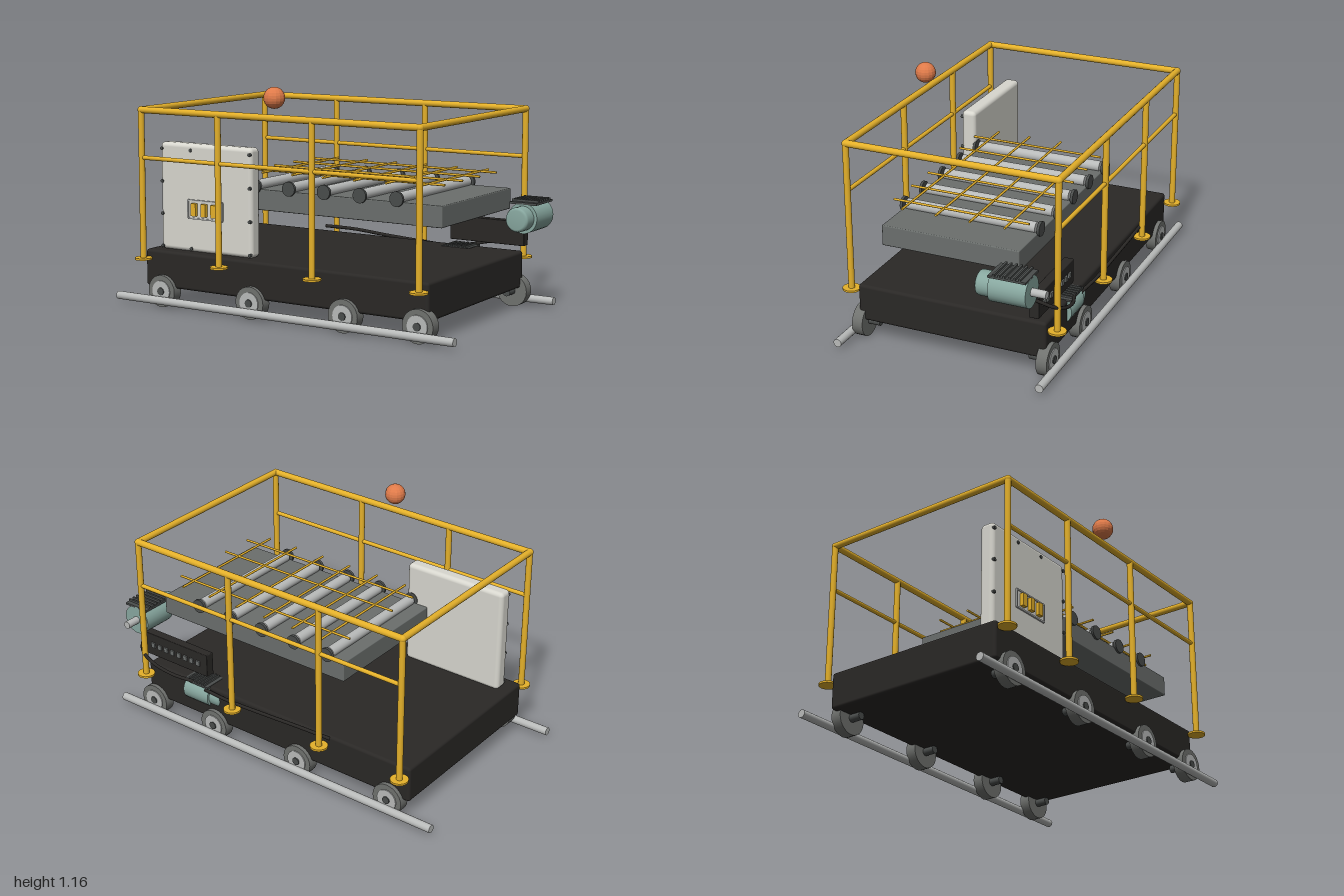
import * as THREE from 'three';
import { RoundedBoxGeometry } from 'three/addons/geometries/RoundedBoxGeometry.js';

const mat = (color, extra = {}) => new THREE.MeshStandardMaterial({ color, ...extra });
const M = {
  black: mat(0x2a2826), yellow: mat(0xe5b12a), steel: mat(0xb9bbba), grey: mat(0x6b6f6d),
  dark: mat(0x4a4d4c), panel: mat(0xd8d7cf), teal: mat(0x88a8a0), tread: mat(0x70726f),
  orange: mat(0xe07b4a, { flatShading: true }),
};

function add(parent, name, geometry, material, x = 0, y = 0, z = 0) {
  const mesh = new THREE.Mesh(geometry, material);
  mesh.name = name;
  mesh.position.set(x, y, z);
  parent.add(mesh);
  return mesh;
}

// Box given by its limits on each axis, optionally with rounded edges
function box(parent, name, m, [x0, x1], [y0, y1], [z0, z1], r = 0) {
  const s = [x1 - x0, y1 - y0, z1 - z0];
  const g = r ? new RoundedBoxGeometry(...s, 3, r) : new THREE.BoxGeometry(...s);
  return add(parent, name, g, m, (x0 + x1) / 2, (y0 + y1) / 2, (z0 + z1) / 2);
}

// Round bar between two points
function bar(parent, name, m, a, b, r, sides = 16) {
  const p = new THREE.Vector3(...a), d = new THREE.Vector3(...b).sub(p);
  const mesh = add(parent, name, new THREE.CylinderGeometry(r, r, d.length(), sides), m);
  mesh.position.copy(p).addScaledVector(d, 0.5);
  mesh.quaternion.setFromUnitVectors(new THREE.Vector3(0, 1, 0), d.normalize());
  return mesh;
}

// Motor along z: end cap to +z, shaft to -z, finned plate on top
function motor(name) {
  const g = new THREE.Group();
  g.name = name;
  bar(g, 'motorBody', M.teal, [0, 0, -0.095], [0, 0, 0.095], 0.078, 28);
  const cap = [[0.062, 0], [0.062, 0.06], [0.058, 0.07], [0.048, 0.076], [0, 0.076]];
  const mesh = add(g, 'motorCap', new THREE.LatheGeometry(cap.map(p => new THREE.Vector2(...p)), 28),
    M.teal, 0, 0, 0.095);
  mesh.rotation.x = Math.PI / 2;
  bar(g, 'shaft', M.steel, [0, 0, -0.17], [0, 0, -0.095], 0.02);
  box(g, 'finPlate', M.dark, [-0.073, 0.073], [0.068, 0.079], [-0.095, 0.095]);
  for (let i = 0; i < 6; i++) {
    const z = -0.065 + i * 0.026;
    box(g, 'fin', M.dark, [-0.073, 0.073], [0.079, 0.09], [z - 0.005, z + 0.005]);
  }
  return g;
}

// Wheel on the side s, stepped inward to the hub
function wheel(parent, x, s) {
  const g = new THREE.Group();
  g.name = 'wheel';
  g.position.set(x, 0.083, 0);
  parent.add(g);
  bar(g, 'tyre', M.tread, [0, 0, s * 0.462], [0, 0, s * 0.518], 0.083, 24);
  bar(g, 'wheelDisc', M.steel, [0, 0, s * 0.51], [0, 0, s * 0.523], 0.055, 24);
  bar(g, 'axle', M.dark, [0, 0, s * 0.40], [0, 0, s * 0.528], 0.02);
}

function cable(parent, name, points, r) {
  const curve = new THREE.CatmullRomCurve3(points.map(p => new THREE.Vector3(...p)));
  add(parent, name, new THREE.TubeGeometry(curve, 48, r, 8), M.black);
}

export function createModel() {
  const root = new THREE.Group();
  root.name = 'rollerCart';

  // Base, wheels and track
  box(root, 'base', M.black, [-0.845, 0.82], [0.1, 0.29], [-0.497, 0.497], 0.015);
  for (const s of [-1, 1]) {
    bar(root, 'trackRail', M.steel, [-1, 0.037, s * 0.533], [0.98, 0.037, s * 0.533], 0.021);
    for (const x of [-0.73, -0.18, 0.365, 0.775]) wheel(root, x, s);
  }

  // Guard railing
  const railing = new THREE.Group();
  railing.name = 'railing';
  root.add(railing);
  for (const s of [-1, 1]) {
    const z = s * 0.546;
    for (const x of [-0.82, -0.342, 0.21, 0.797]) {
      bar(railing, 'post', M.yellow, [x, 0.25, z], [x, 1.013, z], 0.016);
      bar(railing, 'postFoot', M.yellow, [x, 0.245, z], [x, 0.255, z], 0.045, 20);
    }
    bar(railing, 'topRail', M.yellow, [-0.82, 1.013, z], [0.797, 1.013, z], 0.017);
    bar(railing, 'middleRail', M.yellow, [-0.82, 0.77, z], [0.797, 0.77, z], 0.011);
    for (const x of [-0.82, 0.797]) {
      add(railing, 'railCorner', new THREE.SphereGeometry(0.018, 16, 10), M.yellow, x, 1.013, z);
    }
  }
  for (const x of [-0.82, 0.797]) {
    bar(railing, 'endRail', M.yellow, [x, 1.013, -0.546], [x, 1.013, 0.546], 0.017);
  }

  // Control cabinet with border bolts and a small window
  const cabinet = new THREE.Group();
  cabinet.name = 'cabinet';
  root.add(cabinet);
  box(cabinet, 'cabinetBody', M.panel, [-0.79, -0.22], [0.288, 0.842], [0.358, 0.436], 0.022);
  for (let i = 0; i < 4; i++) {
    for (let j = 0; j < 4; j++) {
      if (i % 3 && j % 3) continue;
      const x = -0.777 + i * 0.182, y = 0.305 + j * 0.168;
      bar(cabinet, 'bolt', M.dark, [x, y, 0.425], [x, y, 0.441], 0.009, 10);
    }
  }
  const wx = [-0.61, -0.395], wy = [0.463, 0.555], wz = [0.43, 0.444];
  box(cabinet, 'windowPane', M.panel, wx, wy, [0.43, 0.439]);
  for (const y of wy) box(cabinet, 'windowFrame', M.steel, wx, [y - 0.004, y + 0.004], wz);
  for (const x of wx) box(cabinet, 'windowFrame', M.steel, [x - 0.004, x + 0.004], wy, wz);
  for (const x of [-0.567, -0.505, -0.443]) {
    box(cabinet, 'switch', M.yellow, [x - 0.015, x + 0.015], [0.477, 0.542], [0.435, 0.458]);
  }

  // Roller table
  const table = new THREE.Group();
  table.name = 'rollerTable';
  root.add(table);
  box(table, 'tableBed', M.grey, [-0.35, 0.812], [0.525, 0.63], [-0.358, 0.358], 0.005);
  for (let i = 0; i < 5; i++) {
    const x = -0.25 + i * 0.205;
    bar(table, 'roller', M.steel, [x, 0.647, -0.342], [x, 0.647, 0.342], 0.028, 20);
    for (const s of [-1, 1]) {
      bar(table, 'rollerEnd', M.dark, [x, 0.645, s * 0.355], [x, 0.645, s * 0.369], 0.037, 20);
    }
  }

  // Wire grid over the rollers
  for (let i = 0; i < 6; i++) {
    const x = -0.21 + i * 0.179;
    bar(table, 'crossWire', M.yellow, [x, 0.715, -0.355], [x, 0.715, 0.355], 0.006, 8);
  }
  for (const z of [-0.268, -0.09, 0.087, 0.265]) {
    bar(table, 'longWire', M.yellow, [-0.32, 0.715, z], [0.775, 0.715, z], 0.006, 8);
  }

  // Drive motors
  const mainMotor = motor('mainMotor');
  mainMotor.position.set(0.918, 0.495, -0.375);
  root.add(mainMotor);
  const lowMotor = motor('lowMotor');
  lowMotor.position.set(0.48, 0.225, -0.455);
  lowMotor.rotation.y = -Math.PI / 2;
  lowMotor.scale.setScalar(0.85);
  root.add(lowMotor);

  // Junction box with a row of terminals
  box(root, 'junctionBox', M.black, [0.432, 0.855], [0.325, 0.45], [-0.477, -0.428], 0.004);
  for (let i = 0; i < 8; i++) {
    const x = 0.49 + i * 0.044;
    box(root, 'terminal', M.grey, [x - 0.012, x + 0.012], [0.375, 0.402], [-0.485, -0.47]);
  }

  // Cables
  cable(root, 'motorCable', [[0.87, 0.43, -0.465], [0.82, 0.385, -0.54], [0.74, 0.35, -0.562],
    [0.62, 0.315, -0.55], [0.5, 0.29, -0.51]], 0.009);
  cable(root, 'baseCable', [[0.42, 0.27, -0.51], [0.25, 0.275, -0.525], [0, 0.288, -0.53],
    [-0.22, 0.303, -0.535], [-0.4, 0.305, -0.53]], 0.009);

  // Beacon ball above the front rail
  add(root, 'beaconBall', new THREE.SphereGeometry(0.053, 16, 12), M.orange, -0.012, 1.11, 0.533);

  return root;
}
